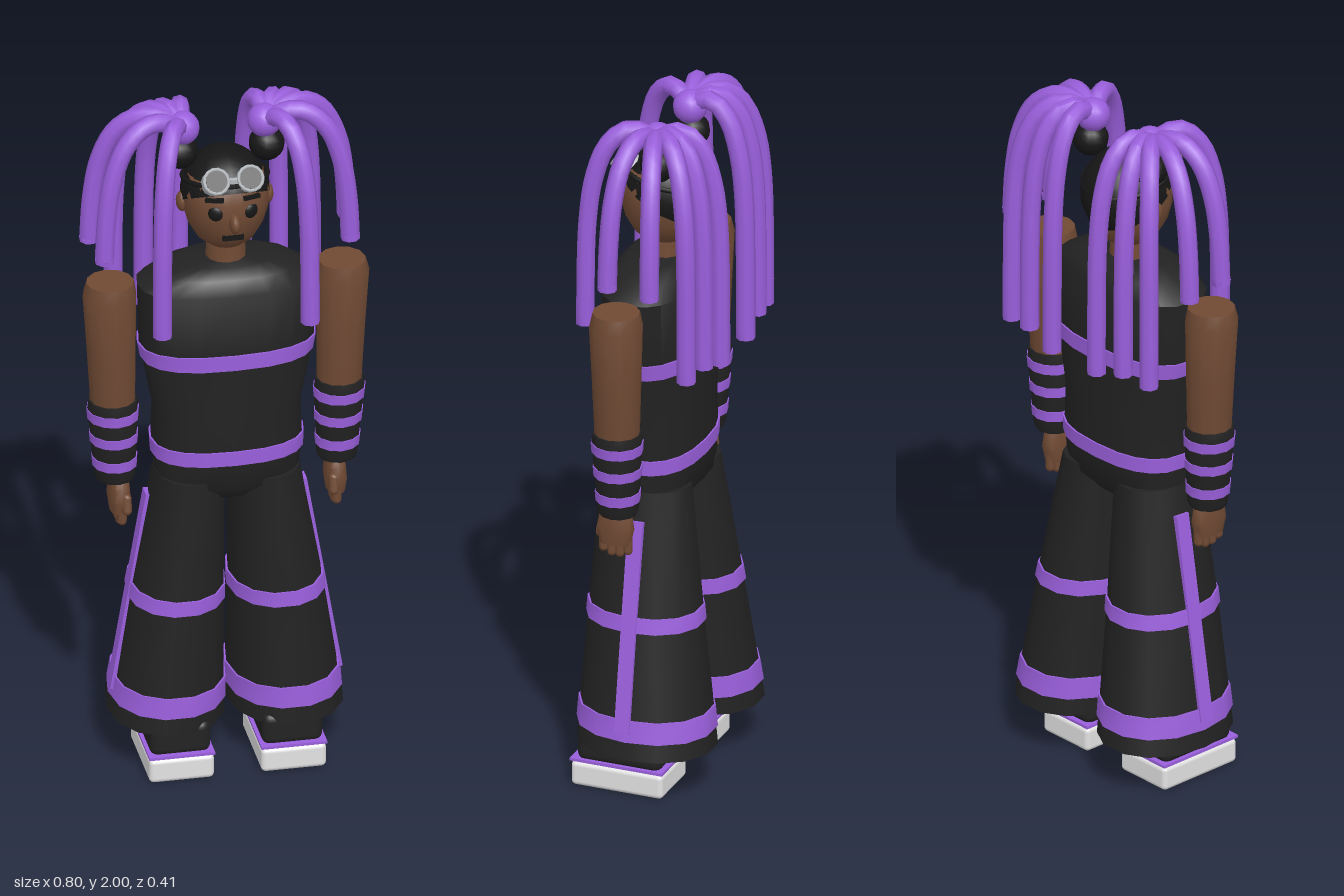
import * as THREE from 'three';
import { toCreasedNormals } from 'three/addons/utils/BufferGeometryUtils.js';
import { RoundedBoxGeometry } from 'three/addons/geometries/RoundedBoxGeometry.js';

const mat = (name, color) => {
  const m = new THREE.MeshStandardMaterial({ color });
  m.name = name;
  return m;
};

// Closed body through rings [y, cx, cz, rx, rz], bottom to top; p > 2 squares the section
function loft(rings, n = 16, p = 2) {
  const pos = [], idx = [];
  const bend = (v) => Math.sign(v) * Math.pow(Math.abs(v), 2 / p);
  for (const [y, cx, cz, rx, rz] of rings)
    for (let j = 0; j < n; j++) {
      const a = (j / n) * Math.PI * 2;
      pos.push(cx + rx * bend(Math.cos(a)), y, cz + rz * bend(Math.sin(a)));
    }
  for (let i = 0; i < rings.length - 1; i++)
    for (let j = 0; j < n; j++) {
      const a = i * n + j, b = i * n + ((j + 1) % n);
      idx.push(a, a + n, b, b, a + n, b + n);
    }
  const last = rings.length - 1, lo = pos.length / 3, hi = lo + 1;
  for (const r of [rings[0], rings[last]]) pos.push(r[1], r[0], r[2]);
  for (let j = 0; j < n; j++) {
    const k = (j + 1) % n;
    idx.push(lo, j, k, hi, last * n + k, last * n + j);
  }
  const g = new THREE.BufferGeometry();
  g.setAttribute('position', new THREE.Float32BufferAttribute(pos, 3));
  g.setIndex(idx);
  return toCreasedNormals(g, 0.8);
}

// Ring of a lofted body at height y, grown by d
function ringAt(rings, y, d) {
  let i = 0;
  while (i < rings.length - 2 && rings[i + 1][0] < y) i++;
  const a = rings[i], b = rings[i + 1], t = (y - a[0]) / (b[0] - a[0]);
  const r = a.map((v, k) => v + (b[k] - v) * t);
  return [y, r[1], r[2], r[3] + d, r[4] + d];
}
const bandOn = (rings, y0, y1, n, p, d = 0.005) =>
  loft([ringAt(rings, y0, d), ringAt(rings, y1, d)], n, p);

export function createModel() {
  const model = new THREE.Group();
  const skin = mat('skin', 0x704a34), black = mat('black cloth', 0x222222);
  const purple = mat('purple', 0x9a5fdc), white = mat('white sole', 0xe2e2e2);
  const grey = mat('goggle grey', 0xb4b8bc), dark = mat('dark hair and lens', 0x161616);
  const add = (name, geo, m, x = 0, y = 0, z = 0) => {
    const mesh = new THREE.Mesh(geo, m);
    mesh.name = name;
    mesh.position.set(x, y, z);
    model.add(mesh);
    return mesh;
  };
  const ball = (name, m, r, x, y, z, sx = 1, sy = 1, sz = 1) => {
    const b = add(name, new THREE.SphereGeometry(r, 14, 10), m, x, y, z);
    b.scale.set(sx, sy, sz);
    return b;
  };

  // Sleeveless top with two bands
  const torso = [[0.835, 0.11, 0.09], [0.88, 0.198, 0.128], [0.98, 0.211, 0.132], [1.1, 0.206, 0.13],
    [1.3, 0.245, 0.134], [1.485, 0.25, 0.132], [1.525, 0.19, 0.11], [1.55, 0.12, 0.08]]
    .map(([y, rx, rz]) => [y, 0, 0.035, rx, rz]);
  add('torso', loft(torso, 20, 2.5), black);
  add('chestBand', bandOn(torso, 1.257, 1.303, 20, 2.5), purple);
  add('waistBand', bandOn(torso, 0.957, 1.0, 20, 2.5), purple);

  // Neck and head
  add('neck', new THREE.CylinderGeometry(0.052, 0.058, 0.12, 12), skin, 0, 1.58, 0.028);
  add('head', loft([[1.597, 0.055, 0.06], [1.62, 0.083, 0.088], [1.66, 0.105, 0.11], [1.71, 0.119, 0.123],
    [1.76, 0.121, 0.124], [1.81, 0.106, 0.106], [1.85, 0.066, 0.066]]
    .map(([y, rx, rz]) => [y, 0, 0.025, rx, rz]), 18), skin);
  ball('nose', skin, 0.03, 0, 1.708, 0.153, 0.5, 0.95, 1);
  add('mouth', new THREE.BoxGeometry(0.058, 0.016, 0.012), dark, 0, 1.655, 0.13);

  // Hair cap tilted back from the forehead
  const cap = add('hairCap', new THREE.SphereGeometry(0.133, 20, 10, 0, Math.PI * 2, 0, 1.68),
    new THREE.MeshStandardMaterial({ color: 0x161616, side: THREE.DoubleSide }), 0, 1.742, 0.018);
  cap.material.name = 'hair';
  cap.rotation.x = -0.52;
  cap.scale.x = 0.93;

  // Goggles pushed up on the forehead
  const strap = add('goggleStrap', new THREE.TorusGeometry(0.127, 0.007, 6, 28), dark, 0, 1.795, 0.018);
  strap.rotation.x = Math.PI / 2 - 0.2;
  strap.scale.x = 0.93;
  add('goggleBridge', new THREE.BoxGeometry(0.04, 0.012, 0.015), grey, 0, 1.832, 0.132);

  const dreadEnds = [[0.09, -0.178, 1.28], [0.19, -0.17, 1.31], [0.278, -0.155, 1.3],
    [0.362, -0.08, 1.585], [0.345, 0.053, 1.585], [0.207, 0.175, 1.39]];
  const dreadCurve = [[0, 1.935], [0.2, 1.967], [0.45, 1.97], [0.7, 1.925], [0.88, 1.83], [0.97, 1.7]];
  const circle = new THREE.Shape(Array.from({ length: 8 }, (_, i) =>
    new THREE.Vector2(Math.cos(i * Math.PI / 4), Math.sin(i * Math.PI / 4)).multiplyScalar(0.027)));

  for (const s of [1, -1]) {
    const side = s > 0 ? 'left' : 'right';
    const part = (name) => side + name;

    // Face details
    ball(part('Ear'), skin, 0.03, s * 0.12, 1.72, 0.015, 0.55, 1, 0.8);
    ball(part('Eye'), dark, 0.021, s * 0.05, 1.735, 0.134, 1, 1.05, 0.45).rotation.y = s * 0.4;
    const brow = add(part('Brow'), new THREE.BoxGeometry(0.052, 0.011, 0.012), dark, s * 0.052, 1.776, 0.13);
    brow.rotation.set(0, s * 0.4, -s * 0.1);

    // Goggle cup, rim and lens
    const cup = new THREE.Group();
    cup.name = part('Goggle');
    cup.position.set(s * 0.048, 1.825, 0.118);
    cup.rotation.x = 0.96;
    const piece = (name, geo, m, y) => {
      const mesh = new THREE.Mesh(geo, m);
      mesh.name = name;
      mesh.position.y = y;
      cup.add(mesh);
    };
    piece('cup', new THREE.CylinderGeometry(0.038, 0.036, 0.05, 14), grey, 0);
    piece('rim', new THREE.TorusGeometry(0.034, 0.005, 6, 14).rotateX(Math.PI / 2), grey, 0.025);
    piece('lens', new THREE.CylinderGeometry(0.03, 0.03, 0.006, 14), dark, 0.025);
    model.add(cup);

    // Bun with falling locks
    ball(part('Bun'), dark, 0.05, s * 0.122, 1.866, -0.005);
    ball(part('HairTie'), purple, 0.048, s * 0.115, 1.94, -0.002);
    dreadEnds.forEach(([x, z, end], i) => {
      const pts = [...dreadCurve, [1, 1.585 * 0.5 + end * 0.5 - 0.02], [1, end]].map(([f, y]) =>
        new THREE.Vector3(s * (0.12 + (x - 0.12) * f), y, z * f));
      const geo = new THREE.ExtrudeGeometry(circle, { steps: 22, bevelEnabled: false,
        extrudePath: new THREE.CatmullRomCurve3(pts) });
      geo.deleteAttribute('uv');
      add(part('Lock' + (i + 1)), toCreasedNormals(geo, 0.9), purple);
    });

    // Arm and striped cuff
    const limb = (rows) => rows.map(([y, x, r]) => [y, s * x, 0.034, r, r]);
    add(part('Arm'), loft(limb([[0.88, 0.308, 0.04], [1.1, 0.317, 0.062], [1.3, 0.322, 0.069],
      [1.46, 0.327, 0.075], [1.5, 0.325, 0.066]]), 12), skin);
    const cuff = limb([[0.885, 0.311, 0.052], [0.9, 0.311, 0.058], [1.11, 0.318, 0.071], [1.133, 0.318, 0.068]]);
    add(part('Cuff'), loft(cuff, 12), black);
    for (const [a, b] of [[1.075, 1.105], [1.003, 1.032], [0.927, 0.957]])
      add(part('CuffBand'), bandOn(cuff, a, b, 12, 2, 0.003), purple);

    // Hand: palm, fingers and thumb
    add(part('Palm'), loft([[0.79, 0.026, 0.045], [0.83, 0.031, 0.054], [0.87, 0.028, 0.048],
      [0.895, 0.026, 0.034]].map(([y, rx, rz]) => [y, s * 0.303, 0.045, rx, rz]), 12, 2.6), skin);
    for (let i = 0; i < 4; i++)
      add(part('Finger'), new THREE.CapsuleGeometry(0.0135, 0.045, 3, 8), skin,
        s * 0.301, 0.783 + (i === 0 || i === 3 ? 0.01 : 0), 0.009 + i * 0.024);
    const thumb = add(part('Thumb'), new THREE.CapsuleGeometry(0.014, 0.035, 3, 8), skin, s * 0.29, 0.825, 0.092);
    thumb.rotation.x = -0.2;

    // Flared trouser leg with bands and side stripe
    const leg = [[0.145, s * 0.167, 0.007, 0.163, 0.198], [0.53, s * 0.139, 0.022, 0.131, 0.162],
      [0.9, s * 0.104, 0.035, 0.098, 0.128]];
    add(part('TrouserLeg'), loft(leg, 14, 2.15), black);
    add(part('HemBand'), bandOn(leg, 0.197, 0.258, 14, 2.15), purple);
    add(part('KneeBand'), bandOn(leg, 0.507, 0.55, 14, 2.15), purple);
    const x0 = 0.318, x1 = 0.218, h = 0.6;
    const stripe = add(part('SideStripe'), new THREE.BoxGeometry(0.016, Math.hypot(h, x0 - x1), 0.044), purple,
      s * (x0 + x1) / 2, 0.22 + h / 2, 0.019);
    stripe.rotation.z = s * Math.atan2(x0 - x1, h);

    // Shoe: sole, trim and upper
    add(part('Sole'), new RoundedBoxGeometry(0.182, 0.072, 0.272, 3, 0.014), white, s * 0.157, 0.036, 0.067);
    add(part('ShoeTrim'), new THREE.BoxGeometry(0.184, 0.008, 0.274), purple, s * 0.157, 0.078, 0.067);
    add(part('ShoeUpper'), new RoundedBoxGeometry(0.17, 0.1, 0.25, 3, 0.025), black, s * 0.157, 0.122, 0.066);
  }
  return model;
}
